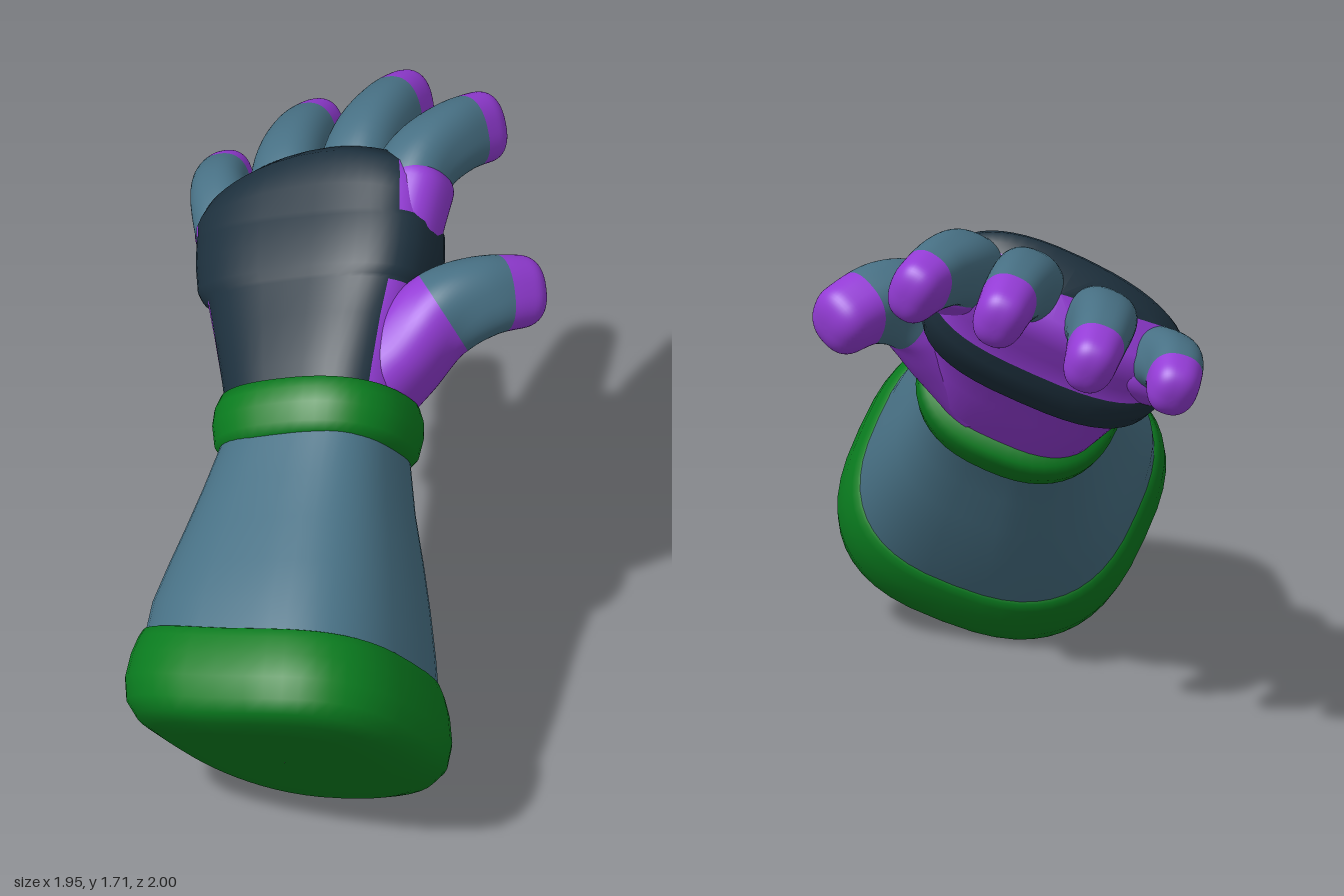
import * as THREE from 'three';

const mat = (name, color) => Object.assign(new THREE.MeshStandardMaterial({ color }), { name });
const V = (x, y, z) => new THREE.Vector3(x, y, z);
const SEG = 48;

// Point on a rounded-square (superellipse) outline
function outline(j, n) {
  const t = (j / SEG) * Math.PI * 2, c = Math.cos(t), s = Math.sin(t);
  return [Math.sign(c) * Math.abs(c) ** (2 / n), Math.sign(s) * Math.abs(s) ** (2 / n)];
}

// Skin through closed rings; pick(i, j) chooses the material index of a face
function loft(name, rings, materials, pick = () => 0) {
  const lists = materials.map(() => []);
  for (let i = 0; i < rings.length - 1; i++) {
    for (let j = 0; j < SEG; j++) {
      const k = (j + 1) % SEG, a = i * SEG, b = a + SEG;
      lists[pick(i, j)].push(a + j, b + j, a + k, a + k, b + j, b + k);
    }
  }
  const g = new THREE.BufferGeometry();
  g.setAttribute('position', new THREE.Float32BufferAttribute(rings.flat().flatMap(p => [p.x, p.y, p.z]), 3));
  g.setIndex(lists.flat());
  let start = 0;
  lists.forEach((l, m) => { g.addGroup(start, l.length, m); start += l.length; });
  g.computeVertexNormals();
  const mesh = new THREE.Mesh(g, materials);
  mesh.name = name;
  return mesh;
}

// Rings across the arm: rows of [along, centre x, half width, centre z, half depth]
function armRings(rows, n, warp = (x, y) => y) {
  return rows.map(([y, cx, a, cz, h]) => Array.from({ length: SEG }, (_, j) => {
    const [c, s] = outline(j, n), x = cx + a * c;
    return V(x, warp(x, y), cz + h * s);
  }));
}

// Finger: tube along a curve with a blunt rounded end, coloured by bands [end fraction, name, material]
function finger(name, pts, r0, r1, bands) {
  const curve = new THREE.CatmullRomCurve3(pts.map(p => V(...p)));
  const len = curve.getLength(), round = 0.08, group = new THREE.Group();
  group.name = name;
  const ring = t => {
    const p = curve.getPointAt(t), T = curve.getTangentAt(t);
    const side = V(1, 0, 0).addScaledVector(T, -T.x).normalize();
    const up = new THREE.Vector3().crossVectors(side, T);
    const d = Math.min(1, (1 - t) * len / round);
    const k = Math.max(0.001, (1 - (1 - d) ** 2.5) ** (1 / 2.5));
    const rx = THREE.MathUtils.lerp(r0[0], r1[0], t) * k, rz = THREE.MathUtils.lerp(r0[1], r1[1], t) * k;
    return Array.from({ length: SEG }, (_, j) => {
      const [c, s] = outline(j, 2.4);
      return p.clone().addScaledVector(side, rx * c).addScaledVector(up, rz * s);
    });
  };
  let from = 0;
  for (const [to, label, m] of bands) {
    const rings = [];
    for (let i = 0; i <= 18; i++) {
      let f = i / 18;
      if (to === 1) f = 1 - (1 - f) ** 2;
      rings.push(ring(from + (to - from) * f));
    }
    group.add(loft(label, rings, [m]));
    from = to;
  }
  return group;
}

export function createModel() {
  const blue = mat('slateBlue', 0x487185), purple = mat('purple', 0x943cd6);
  const dark = mat('darkSlate', 0x1d303d), green = mat('green', 0x0a7c1f);

  // Local frame: x toward the thumb, y along the arm to the fingers, z out of the back of the hand
  const glove = new THREE.Group();
  glove.name = 'glove';
  const along = V(0.552, 0.59, -0.59).normalize();
  const across = V(0.46, 0.37, 0.80).addScaledVector(along, -V(0.46, 0.37, 0.80).dot(along)).normalize();
  const back = new THREE.Vector3().crossVectors(across, along);
  glove.quaternion.setFromRotationMatrix(new THREE.Matrix4().makeBasis(across, along, back));
  glove.position.set(0, 1, 0);

  // Flared sleeve and its thick rim, cut aslant and curving up at the sides
  const slant = (x, y) => y + (0.2 * x * x - 0.13 * x) * THREE.MathUtils.clamp(-y / 0.7, 0, 1);
  glove.add(loft('sleeve', armRings([
    [0, 0, 0.27, -0.01, 0.235], [-0.1, -0.005, 0.288, -0.01, 0.255], [-0.25, -0.015, 0.318, -0.01, 0.29],
    [-0.4, -0.02, 0.352, -0.01, 0.335], [-0.55, -0.025, 0.387, -0.005, 0.373], [-0.7, -0.03, 0.418, 0, 0.407],
    [-0.85, -0.03, 0.438, 0, 0.427],
  ].reverse(), 2.7, slant), [blue]));
  glove.add(loft('sleeveRim', armRings([
    [-1.105, -0.03, 0.001, 0, 0.001], [-1.105, -0.03, 0.3, 0, 0.28], [-1.1, -0.03, 0.39, 0, 0.375],
    [-1.08, -0.03, 0.442, 0, 0.425], [-1.04, -0.03, 0.472, 0, 0.457], [-0.97, -0.03, 0.48, 0, 0.467],
    [-0.89, -0.03, 0.468, 0, 0.456], [-0.83, -0.03, 0.45, 0, 0.44], [-0.8, -0.03, 0.437, 0, 0.427],
    [-0.79, -0.03, 0.415, 0, 0.405],
  ], 2.75, slant), [green]));

  // Wrist band
  glove.add(loft('wristBand', armRings([
    [-0.11, 0, 0.24, -0.01, 0.22], [-0.1, 0, 0.292, -0.01, 0.258], [-0.07, 0, 0.316, -0.01, 0.278],
    [-0.01, 0, 0.326, -0.01, 0.288], [0.04, 0, 0.322, -0.01, 0.286], [0.078, 0, 0.308, -0.01, 0.272],
    [0.092, 0, 0.25, -0.01, 0.22],
  ], 2.4), [green]));

  // Hand: dark back and knuckle strap, purple palm and sides
  const handRows = [
    [0, 0, 0.275, -0.01, 0.225], [0.14, -0.005, 0.3, -0.01, 0.234], [0.3, -0.015, 0.332, -0.002, 0.222],
    [0.42, -0.025, 0.36, 0, 0.206], [0.43, -0.027, 0.378, 0, 0.213], [0.46, -0.03, 0.395, -0.005, 0.222],
    [0.55, -0.035, 0.408, -0.01, 0.222], [0.63, -0.04, 0.41, -0.01, 0.21], [0.65, -0.045, 0.403, 0.002, 0.193],
    [0.74, -0.05, 0.402, 0.01, 0.177], [0.81, -0.05, 0.395, 0.014, 0.16], [0.86, -0.05, 0.378, 0.012, 0.14],
    [0.89, -0.04, 0.325, 0.01, 0.095], [0.9, -0.03, 0.001, 0, 0.001],
  ];
  const arch = (x, y) => y - 0.6 * (x - 0.04) ** 2 * THREE.MathUtils.smoothstep(y, 0.62, 0.87);
  glove.add(loft('hand', armRings(handRows, 2.8, arch), [purple, dark],
    (i, j) => ((j >= 4 && j < 20) || (i >= 3 && i < 8) ? 1 : 0)));

  // Fingers
  const plan = [
    ['indexFinger', [[0.22, 0.62, -0.01], [0.285, 0.84, -0.03], [0.345, 0.96, -0.125], [0.4, 1.06, -0.29]], [0.135, 0.12], [0.077, 0.112]],
    ['middleFinger', [[0.06, 0.62, 0], [0.085, 0.92, -0.025], [0.1, 1.07, -0.135], [0.1, 1.18, -0.3]], [0.135, 0.12], [0.077, 0.103]],
    ['ringFinger', [[-0.14, 0.62, 0], [-0.18, 0.87, -0.025], [-0.2, 1.01, -0.125], [-0.22, 1.125, -0.3]], [0.135, 0.12], [0.075, 0.098]],
    ['littleFinger', [[-0.3, 0.54, -0.01], [-0.39, 0.74, -0.01], [-0.445, 0.86, -0.06], [-0.487, 0.96, -0.2]], [0.12, 0.11], [0.074, 0.09]],
  ];
  for (const [name, pts, r0, r1] of plan) {
    glove.add(finger(name, pts, r0, r1, [[0.78, 'fingerBody', blue], [1, 'fingerTip', purple]]));
  }
  // Purple patches where the outer fingers leave the hand
  glove.add(finger('indexBase', [[0.22, 0.55, -0.015], [0.26, 0.7, -0.015], [0.295, 0.85, -0.03]], [0.135, 0.125], [0.12, 0.121],
    [[1, 'indexCollar', purple]]));
  glove.add(finger('littleBase', [[-0.29, 0.5, -0.025], [-0.35, 0.64, -0.025], [-0.405, 0.765, -0.03]], [0.12, 0.115], [0.112, 0.108],
    [[1, 'littleCollar', purple]]));

  // Thumb
  glove.add(finger('thumb', [[0.08, 0.09, -0.06], [0.26, 0.22, -0.04], [0.4, 0.34, -0.035], [0.505, 0.41, -0.1], [0.61, 0.475, -0.27]],
    [0.15, 0.18], [0.1, 0.108],
    [[0.55, 'thumbBase', purple], [0.8, 'thumbBody', blue], [1, 'thumbTip', purple]]));

  const model = new THREE.Group();
  model.name = 'gloveModel';
  model.add(glove);
  return model;
}
